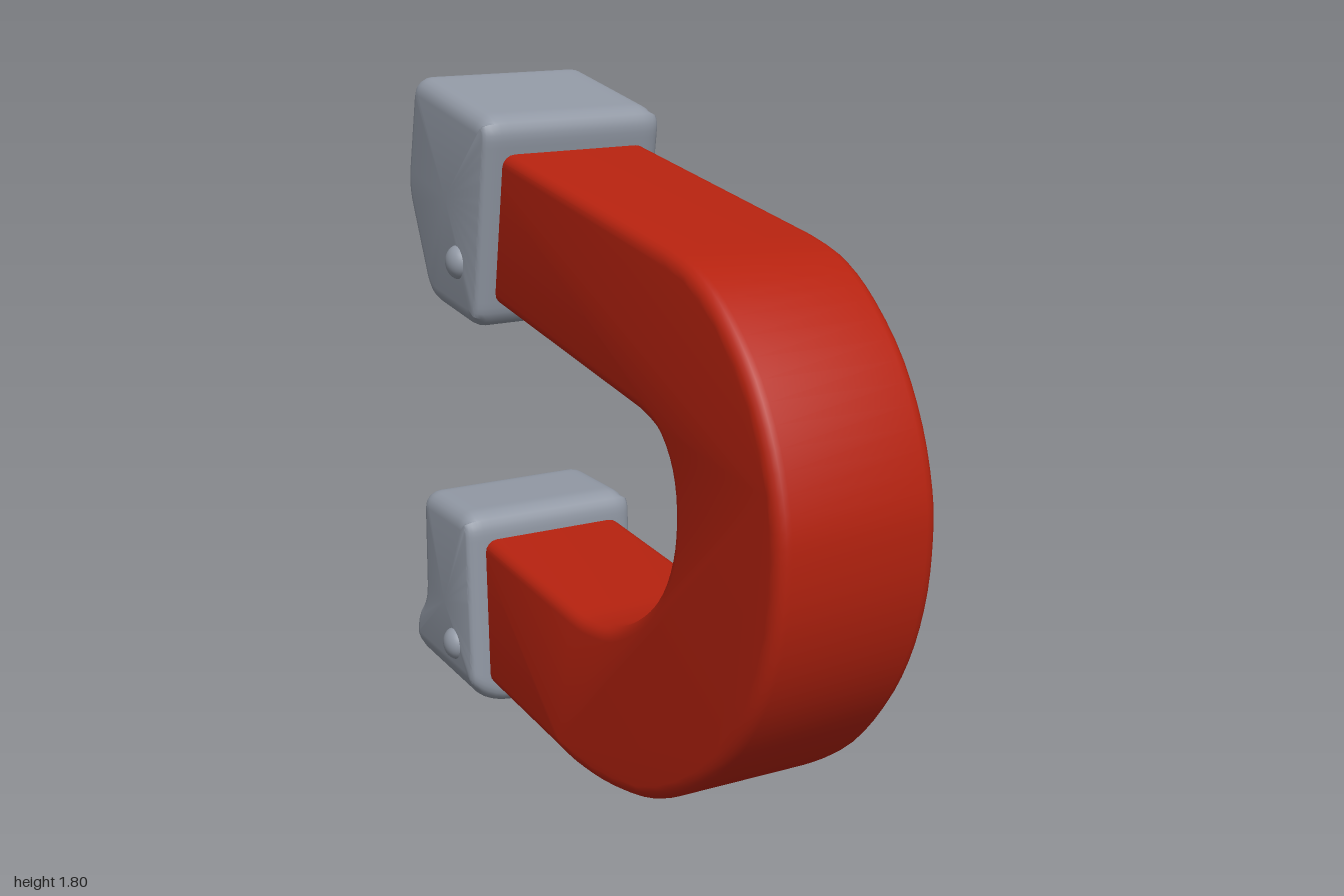
import * as THREE from 'three';
import { mergeVertices, toCreasedNormals } from 'three/addons/utils/BufferGeometryUtils.js';

const red = new THREE.MeshStandardMaterial({ color: 0xb5220f });
red.name = 'red paint';
const steel = new THREE.MeshStandardMaterial({ color: 0x9198a4 });
steel.name = 'grey steel';

// Side profiles are drawn as (-z, y) and built along x.
function roundedPolygon(points, radius, target = new THREE.Shape()) {
  const v = points.map(([a, b]) => new THREE.Vector2(a, b));
  v.forEach((p, i) => {
    const toward = (q) => {
      const d = q.clone().sub(p);
      return p.clone().add(d.setLength(Math.min(radius, d.length() * 0.45)));
    };
    const a = toward(v[(i + v.length - 1) % v.length]);
    const b = toward(v[(i + 1) % v.length]);
    if (i === 0) target.moveTo(a.x, a.y);
    else target.lineTo(a.x, a.y);
    target.quadraticCurveTo(p.x, p.y, b.x, b.y);
  });
  target.closePath();
  return target;
}

function extrudeAcross(shape, x0, x1, bevel, curveSegments) {
  let geo = new THREE.ExtrudeGeometry(shape, {
    depth: x1 - x0 - 2 * bevel, curveSegments, bevelEnabled: bevel > 0,
    bevelSize: bevel, bevelThickness: bevel, bevelOffset: -bevel, bevelSegments: 4,
  });
  geo.deleteAttribute('normal');
  geo.deleteAttribute('uv');
  geo = toCreasedNormals(mergeVertices(geo, 1e-4), 0.6);
  return geo.translate(0, 0, x0 + bevel).rotateY(Math.PI / 2);
}

// Pillow-edged block: rings of one profile across x, inset at both sides and bent by a rule.
function capGeometry(points, half, bend) {
  const bevel = 0.05;
  const ring = roundedPolygon(points, 0.065).getSpacedPoints(120);
  ring.pop();
  const n = ring.length;
  const levels = [];
  for (let i = 0; i <= 5; i++) {
    const a = (i / 5) * Math.PI / 2;
    levels.push([half - bevel + bevel * Math.sin(a), bevel * (1 - Math.cos(a))]);
  }
  const inner = [];
  for (let i = -8; i <= 8; i++) inner.push([(i / 9) * (half - bevel), 0]);
  const all = [...levels.map(([x, t]) => [-x, t]).reverse(), ...inner, ...levels];
  const pos = [];
  const index = [];
  for (const [x, inset] of all) {
    ring.forEach((p, i) => {
      const t = ring[(i + 1) % n].clone().sub(ring[(i + n - 1) % n]).normalize();
      const k = inset * (t.y < -0.7 ? 0.4 : 1); // the open mouth keeps tighter edges
      const q = bend(new THREE.Vector2(p.x - t.y * k, p.y + t.x * k), x);
      pos.push(q.x, q.y, x);
    });
  }
  for (let j = 0; j < all.length - 1; j++) {
    for (let i = 0; i < n; i++) {
      const a = j * n + i, b = j * n + (i + 1) % n;
      index.push(a, b, b + n, a, b + n, a + n);
    }
  }
  // close both sides
  const mid = ring.reduce((s, p) => s.add(p), new THREE.Vector2()).divideScalar(n);
  const c0 = pos.length / 3, last = (all.length - 1) * n;
  pos.push(mid.x, mid.y, -half, mid.x, mid.y, half);
  for (let i = 0; i < n; i++) {
    const k = (i + 1) % n;
    index.push(c0, k, i, c0 + 1, last + i, last + k);
  }
  const geo = new THREE.BufferGeometry();
  geo.setAttribute('position', new THREE.Float32BufferAttribute(pos, 3));
  geo.setIndex(index);
  return toCreasedNormals(geo, 0.7).rotateY(Math.PI / 2);
}

function addMesh(group, name, geo, material) {
  const mesh = new THREE.Mesh(geo, material);
  mesh.name = name;
  group.add(mesh);
  return mesh;
}

export function createModel() {
  const model = new THREE.Group();
  model.name = 'horseshoeMagnet';

  // Red bent bar
  const curve = (pts) => pts.map(([z, y]) => new THREE.Vector2(-z, y));
  const bar = new THREE.Shape();
  bar.moveTo(0.6, 1.672);
  bar.lineTo(-0.48, 1.528);
  bar.splineThru(curve([[0.6, 1.5], [0.72, 1.435], [0.85, 1.315], [0.94, 1.17], [0.99, 1.02],
    [1, 0.9], [0.985, 0.75], [0.935, 0.59], [0.85, 0.44], [0.72, 0.29], [0.56, 0.175],
    [0.4, 0.095], [0.2, 0.048], [0.02, 0.035], [-0.1, 0.043]]));
  bar.lineTo(0.6, 0.083);
  bar.lineTo(0.6, 0.521);
  bar.lineTo(0, 0.476);
  bar.splineThru(curve([[0.08, 0.475], [0.2, 0.495], [0.3, 0.54], [0.4, 0.61], [0.48, 0.7],
    [0.525, 0.81], [0.533, 0.92], [0.51, 1.01], [0.45, 1.08], [0.36, 1.11]]));
  bar.lineTo(0.6, 1.247);
  bar.closePath();
  addMesh(model, 'bentBar', extrudeAcross(bar, -0.21, 0.225, 0.035, 3), red);

  // Upper cap with a chipped rear edge and a nick below, both on the +x side
  const chips = [[0.87, 1.62, 0.06, 0.08], [0.85, 1.74, 0.025, 0.03], [0.585, 1.165, 0.025, 0.06]];
  const upper = [[0.44, 1.15], [0.765, 1.185], [0.91, 1.49], [0.835, 1.815], [0.343, 1.735]];
  const upperCap = capGeometry(upper, 0.265, (p, x) => {
    const side = THREE.MathUtils.smoothstep(x, 0.12, 0.25);
    const pull = new THREE.Vector2(0.64, 1.49).sub(p).normalize();
    for (const [s, y, width, depth] of chips) {
      const d = Math.hypot(p.x - s, p.y - y) / width;
      p.addScaledVector(pull, side * depth * Math.exp(-d * d));
    }
    return p;
  });
  addMesh(model, 'upperCap', upperCap, steel);

  // Lower cap with a flared foot and broad rounding underneath
  const lower = [[0.505, 0], [0.95, 0.022], [0.938, 0.15], [0.865, 0.25], [0.86, 0.592], [0.525, 0.592]];
  const lowerCap = capGeometry(lower, 0.265, (p, x) => {
    const side = Math.max(0, (Math.abs(x) - 0.13) / 0.135);
    p.y += 0.06 * side * side * (1 - THREE.MathUtils.smoothstep(p.y, 0, 0.3));
    return p;
  });
  addMesh(model, 'lowerCap', lowerCap, steel);

  // Flat strap loops behind the caps
  const loops = [
    ['upperLoop', -0.12, 0.12,
      [[0.78, 1.23], [0.89, 1.23], [0.945, 1.29], [1.007, 1.42], [0.955, 1.555], [0.87, 1.56], [0.83, 1.4]],
      [[0.79, 1.285], [0.87, 1.285], [0.953, 1.41], [0.92, 1.48], [0.86, 1.48]]],
    ['lowerLoop', 0.08, 0.21,
      [[0.84, 0.215], [0.95, 0.23], [1.01, 0.33], [0.95, 0.425], [0.84, 0.44]],
      [[0.85, 0.275], [0.925, 0.28], [0.955, 0.33], [0.92, 0.37], [0.85, 0.38]]],
  ];
  for (const [name, x0, x1, outer, hole] of loops) {
    const shape = roundedPolygon(outer, 0.05);
    shape.holes.push(roundedPolygon(hole, 0.02, new THREE.Path()));
    addMesh(model, name, extrudeAcross(shape, x0, x1, 0, 5), steel);
  }

  // Domed rivets: x side, y, z, radius
  const rivets = [
    [1, 1.325, -0.555, 0.046], [1, 1.33, -0.725, 0.057], [-1, 1.325, -0.555, 0.048],
    [1, 0.17, -0.645, 0.046], [1, 0.155, -0.81, 0.067], [-1, 0.17, -0.645, 0.048],
  ];
  for (const [side, y, z, r] of rivets) {
    const rivet = addMesh(model, 'rivet', new THREE.SphereGeometry(r, 24, 16), steel);
    rivet.scale.x = 0.037 / r;
    rivet.position.set(side * 0.256, y, z);
  }
  return model;
}
